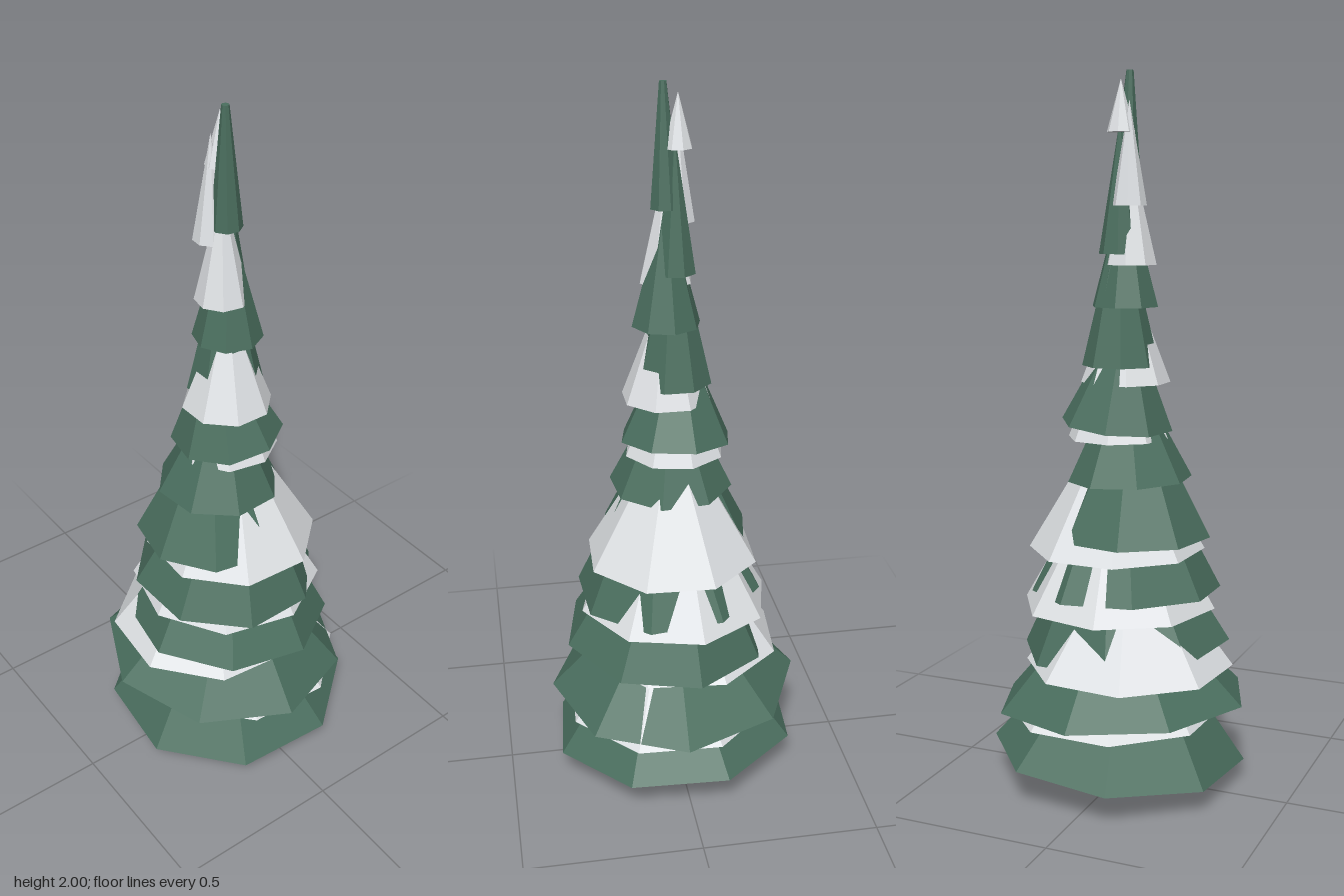
import * as THREE from 'three';

const material = (name, color) => {
  const m = new THREE.MeshStandardMaterial({ color, flatShading: true });
  m.name = name;
  return m;
};

// Each row: base y, centre x, centre z, radius, height, turn, tilt about x, tilt about z
const BOUGHS = [
  [0.083, 0.01, 0.005, 0.365, 0.47, 0.3, 0.03, 0.06],
  [0.243, -0.005, 0, 0.365, 0.38, -0.04, 0.03, -0.06],
  [0.403, -0.005, 0.025, 0.3, 0.55, 0.2, -0.05, -0.06],
  [0.56, -0.01, 0.015, 0.27, 0.53, 0.45, 0.05, -0.035],
  [0.727, -0.037, -0.005, 0.22, 0.43, 0.2, 0, 0],
  [0.883, -0.025, 0.005, 0.175, 0.35, 0.5, 0, -0.04],
  [1.037, 0.012, -0.003, 0.158, 0.34, 0.2, -0.03, 0.1],
  [1.203, 0.003, 0.002, 0.107, 0.45, 0.4, 0, 0],
  [1.365, -0.003, 0.02, 0.095, 0.35, 0.1, 0, 0],
  [1.51, 0.003, -0.003, 0.058, 0.36, 0.3, 0, 0],
];
const SNOW = [
  [0.2, 0.03, 0.02, 0.312, 0.42, 0.35, 0, 0],
  [0.357, -0.035, -0.025, 0.295, 0.4, 0.3, 0, 0],
  [0.522, 0.007, 0, 0.278, 0.48, 0.15, 0, 0],
  [0.68, 0.018, 0.01, 0.25, 0.42, 0.35, 0, 0],
  [1.0, 0.01, 0, 0.142, 0.35, 0.2, 0, 0],
  [1.155, -0.005, 0.02, 0.125, 0.33, 0.4, 0, 0],
  [1.48, -0.02, 0.018, 0.073, 0.31, 0.2, 0, 0],
  [1.64, -0.03, -0.015, 0.048, 0.28, 0.3, 0, 0],
  [1.835, -0.004, -0.012, 0.039, 0.14, 0.2, 0, 0],
];

// Eight-sided closed cone whose origin is the middle of its base
function cone(name, mat, [y, x, z, r, h, turn, tiltX, tiltZ], topRadius = 0) {
  const geo = new THREE.CylinderGeometry(topRadius, r, h, 8);
  geo.translate(0, h / 2, 0);
  geo.rotateY(turn);
  const mesh = new THREE.Mesh(geo, mat);
  mesh.name = name;
  mesh.position.set(x, y, z);
  mesh.rotation.set(tiltX, 0, tiltZ);
  return mesh;
}

export function createModel() {
  const green = material('needle green', 0x4a6e5e);
  const white = material('snow white', 0xdfe2e5);
  const brown = material('bark brown', 0x78695a);
  const tree = new THREE.Group();
  tree.name = 'snowyFir';

  // Trunk
  const trunk = new THREE.Mesh(new THREE.CylinderGeometry(0.04, 0.045, 0.3, 8), brown);
  trunk.name = 'trunk';
  trunk.position.set(-0.008, 0.15, 0.01);
  tree.add(trunk);

  // Stacked boughs, and the snow skirts between them
  const boughs = new THREE.Group();
  boughs.name = 'boughs';
  BOUGHS.forEach((row, i) => boughs.add(cone(`bough${i + 1}`, green, row)));
  const snow = new THREE.Group();
  snow.name = 'snow';
  SNOW.forEach((row, i) => snow.add(cone(`snow${i + 1}`, white, row)));

  // Blunt tip
  boughs.add(cone('tip', green, [1.68, -0.007, 0.02, 0.042, 0.32, 0.2, 0.015, 0.025], 0.01));
  tree.add(boughs, snow);
  return tree;
}
